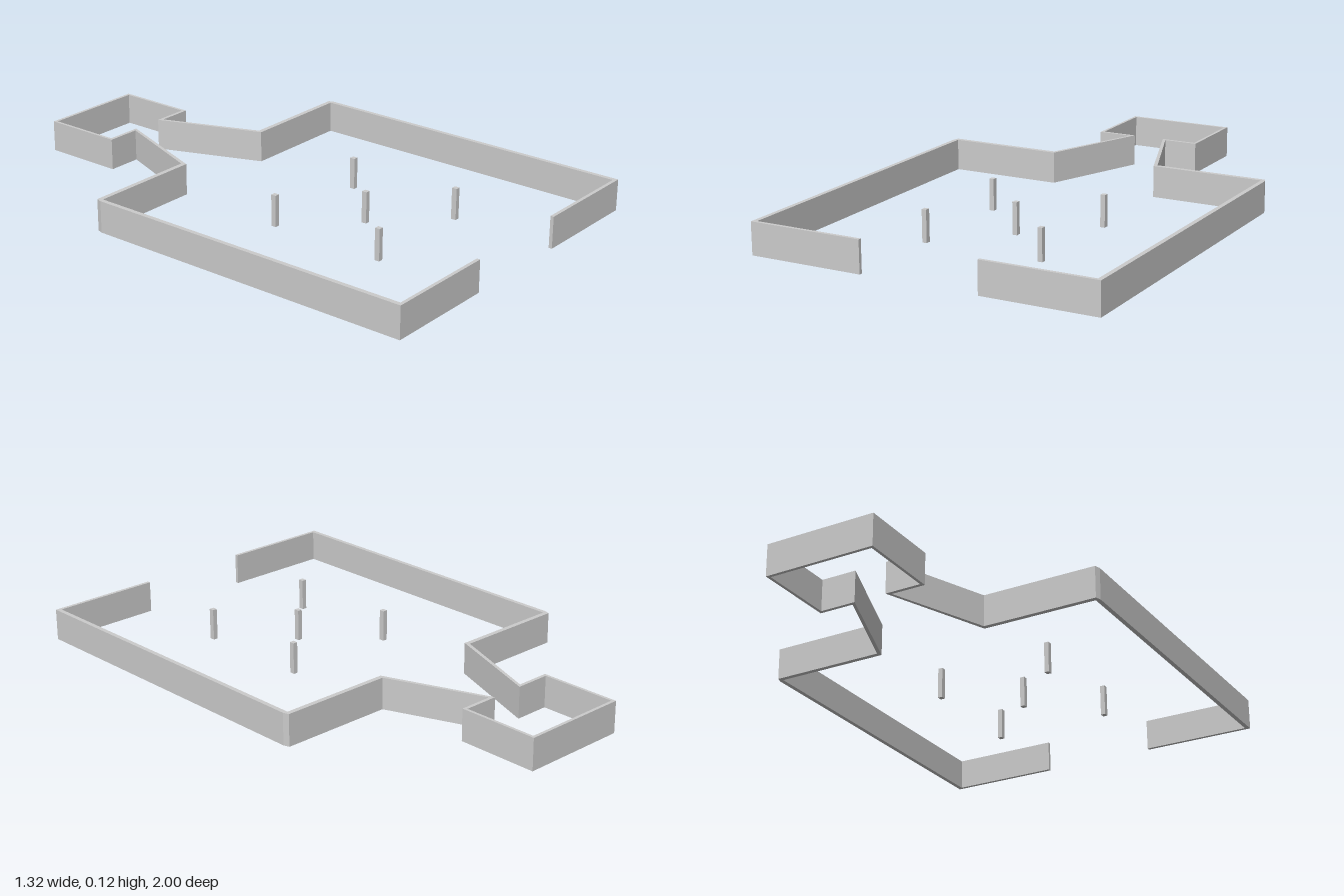
import * as THREE from 'three';

const HEIGHT = 0.12;

export function createModel() {
  const group = new THREE.Group();
  const material = new THREE.MeshStandardMaterial({ color: 0xcccccc, flatShading: true });

  // Wall plan as [x, z] on the left half, from the entrance to the rear chamber
  const outer = [
    [0.225, 1], [0.662, 1], [0.662, -0.295], [0.655, -0.317], [0.221, -0.317],
    [0.079, -0.685], [0.209, -0.685], [0.209, -1],
  ];
  const inner = [
    [0.225, 0.987], [0.645, 0.987], [0.645, -0.299], [0.213, -0.299],
    [0.062, -0.698], [0.198, -0.698], [0.198, -0.988],
  ];
  const mirror = (points) => points.map(([x, z]) => [-x, z]);

  // One continuous ribbon: along the outside, then back along the inside
  const outline = [
    ...outer, ...mirror(outer).reverse(),
    ...mirror(inner), ...[...inner].reverse(),
  ];
  const shape = new THREE.Shape(outline.map(([x, z]) => new THREE.Vector2(x, -z)));
  const wallGeometry = new THREE.ExtrudeGeometry(shape, { depth: HEIGHT, bevelEnabled: false });
  wallGeometry.rotateX(-Math.PI / 2);
  const walls = new THREE.Mesh(wallGeometry, material);
  walls.name = 'perimeterWalls';
  group.add(walls);

  // Five free-standing posts: four corners and a centre
  const posts = new THREE.Group();
  posts.name = 'posts';
  const postGeometry = new THREE.BoxGeometry(0.018, HEIGHT, 0.02);
  for (const [x, z] of [[-0.228, 0.137], [0.228, 0.137], [0, 0.365], [-0.228, 0.593], [0.228, 0.593]]) {
    const post = new THREE.Mesh(postGeometry, material);
    post.name = 'post';
    post.position.set(x, HEIGHT / 2, z);
    posts.add(post);
  }
  group.add(posts);

  return group;
}
